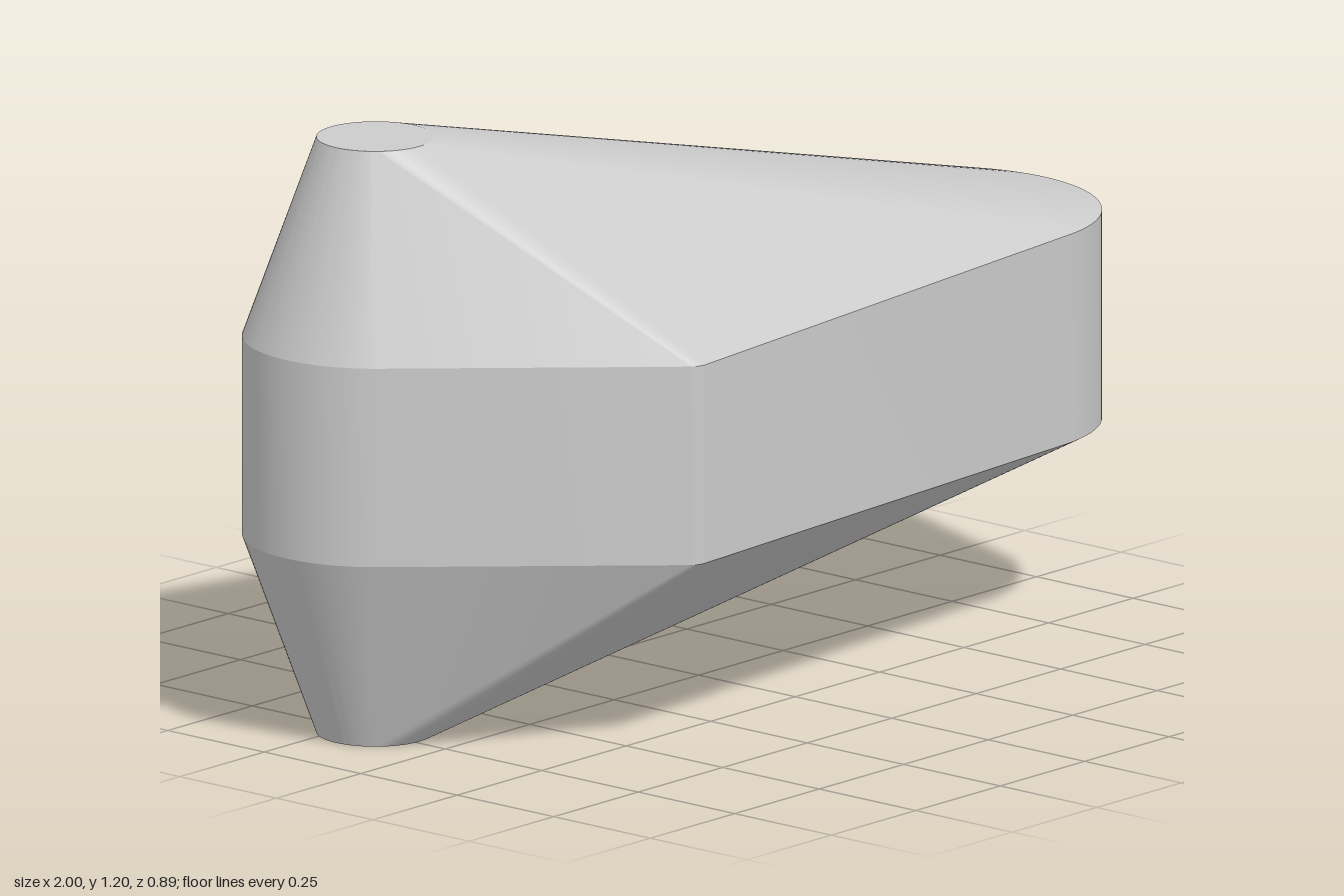
import * as THREE from 'three';
import { toCreasedNormals } from 'three/addons/utils/BufferGeometryUtils.js';

// Corner circles of the waist outline, in turning order from +x towards +z
const CORNERS = [
  { x: 0.67, z: 0.02, r: 0.33, low: 0.39, high: 0.81 }, // broad round nose
  { x: -0.49, z: 0.405, r: 0.04, low: 0.4, high: 0.8 }, // tight front corner
  { x: -0.74, z: -0.19, r: 0.26, low: 0.4, high: 0.8 }, // round heel
];
const TIP = { x: -0.74, z: -0.19, r: 0.115, low: 0, high: 1.2 };

const onCircle = (c, a, y) =>
  new THREE.Vector3(c.x + c.r * Math.cos(a), y, c.z + c.r * Math.sin(a));

// Direction of the outward normal on the straight side joining two circles
function tangentAngle(p, q) {
  const dx = q.x - p.x, dz = q.z - p.z;
  return Math.atan2(dz, dx) - Math.acos((p.r - q.r) / Math.hypot(dx, dz));
}

// Arc samples round the outline; the tip shares each sample's normal angle
function outline() {
  const samples = [];
  CORNERS.forEach((c, i) => {
    const start = tangentAngle(CORNERS[(i + 2) % 3], c);
    let sweep = tangentAngle(c, CORNERS[(i + 1) % 3]) - start;
    sweep = THREE.MathUtils.euclideanModulo(sweep, Math.PI * 2);
    const n = Math.ceil(sweep / 0.07);
    for (let k = 0; k <= n; k++) samples.push({ c, a: start + (sweep * k) / n });
  });
  return samples;
}

function meshFrom(name, triangles) {
  const points = triangles.filter(
    ([a, b, c]) => b.clone().sub(a).cross(c.clone().sub(a)).length() > 1e-9
  ).flat();
  let geometry = new THREE.BufferGeometry().setFromPoints(points);
  geometry.computeVertexNormals();
  geometry = toCreasedNormals(geometry, 0.2);
  const mesh = new THREE.Mesh(geometry, new THREE.MeshStandardMaterial({ color: 0xcccccc }));
  mesh.name = name;
  return mesh;
}

// Skin between two closed rings, lower ring first
function band(lower, upper) {
  return lower.flatMap((a, i) => {
    const j = (i + 1) % lower.length;
    return [[a, upper[i], upper[j]], [a, upper[j], lower[j]]];
  });
}

function cap(ring, y, up) {
  const centre = new THREE.Vector3(TIP.x, y, TIP.z);
  return ring.map((p, i) => {
    const next = ring[(i + 1) % ring.length];
    return up ? [centre, next, p] : [centre, p, next];
  });
}

export function createModel() {
  const samples = outline();
  const bottom = samples.map(({ a }) => onCircle(TIP, a, TIP.low));
  const waistLow = samples.map(({ c, a }) => onCircle(c, a, c.low));
  const waistHigh = samples.map(({ c, a }) => onCircle(c, a, c.high));
  const top = samples.map(({ a }) => onCircle(TIP, a, TIP.high));

  const group = new THREE.Group();
  group.name = 'taperedBody';
  group.add(
    meshFrom('lowerTaper', [...band(bottom, waistLow), ...cap(bottom, TIP.low, false)]),
    meshFrom('waistWall', band(waistLow, waistHigh)),
    meshFrom('upperTaper', [...band(waistHigh, top), ...cap(top, TIP.high, true)])
  );
  return group;
}
